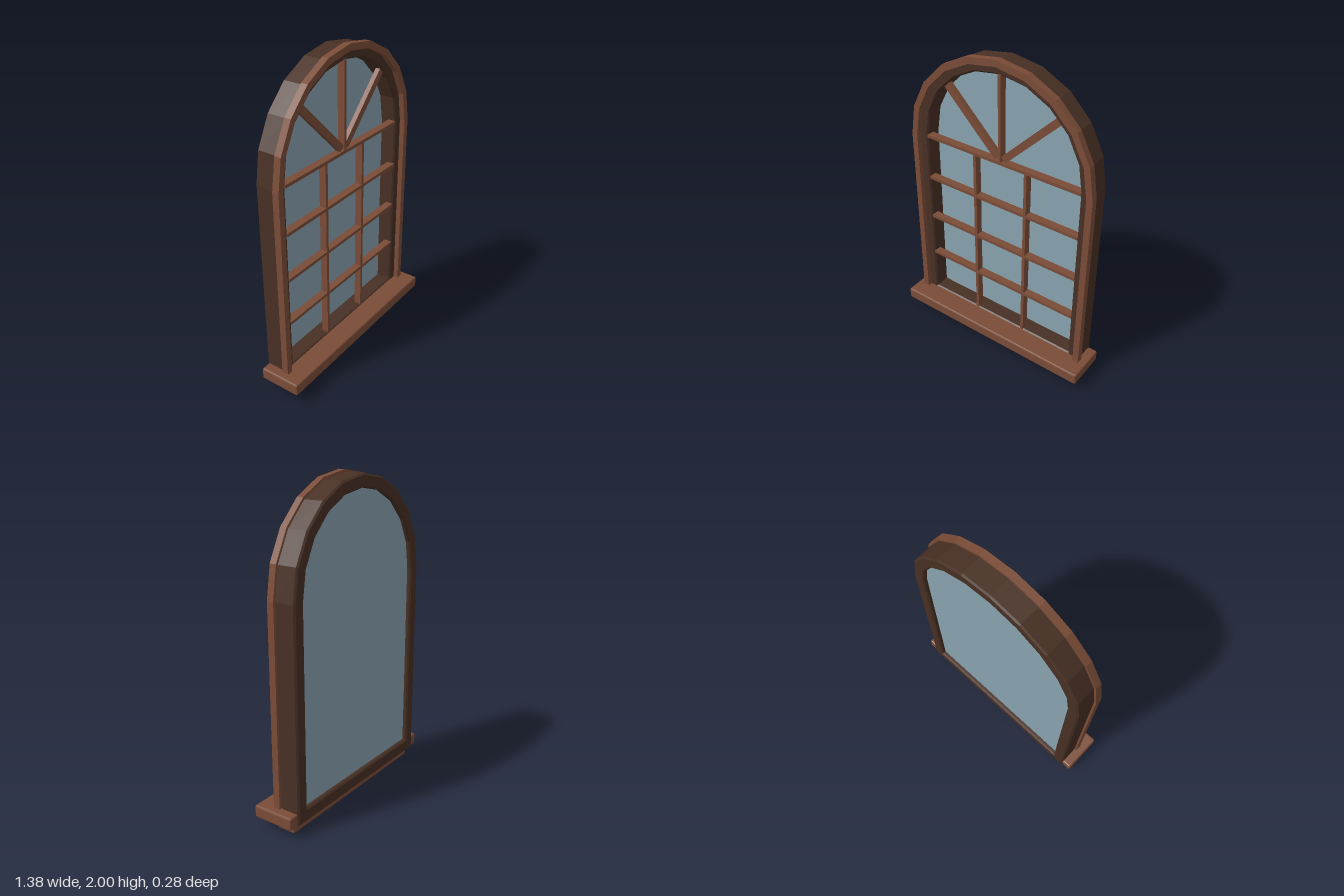
import * as THREE from 'three';
import { RoundedBoxGeometry } from 'three/addons/geometries/RoundedBoxGeometry.js';

const SPRING = 1.36; // height where the arch begins

// Points of an arched outline with ten straight facets over the top
function archPoints(radius, bottom) {
  const pts = [new THREE.Vector2(-radius, bottom), new THREE.Vector2(radius, bottom)];
  for (let i = 0; i <= 10; i++) {
    const a = (i / 10) * Math.PI;
    pts.push(new THREE.Vector2(radius * Math.cos(a), SPRING + radius * Math.sin(a)));
  }
  return pts;
}

// Arched ring from zBack to zFront, with an optional chamfer inside those limits
function archRing(outer, outerBottom, inner, innerBottom, zBack, zFront, bevel = 0) {
  const shape = new THREE.Shape(archPoints(outer - bevel, outerBottom + bevel));
  shape.holes.push(new THREE.Path(archPoints(inner + bevel, innerBottom - bevel)));
  const geo = new THREE.ExtrudeGeometry(shape, {
    depth: zFront - zBack - 2 * bevel,
    bevelEnabled: bevel > 0,
    bevelSize: bevel,
    bevelThickness: bevel,
    bevelSegments: 1,
  });
  return geo.translate(0, 0, zBack + bevel);
}

// Box with chamfered edges given by its limits
function chamferBox(w, y0, y1, z0, z1, chamfer) {
  const geo = new RoundedBoxGeometry(w, y1 - y0, z1 - z0, 1, chamfer);
  geo.computeVertexNormals();
  return geo.translate(0, (y0 + y1) / 2, (z0 + z1) / 2);
}

export function createModel() {
  const wood = new THREE.MeshStandardMaterial({ color: 0x7a4c37 });
  wood.name = 'wood';
  const darkWood = new THREE.MeshStandardMaterial({ color: 0x483024 });
  darkWood.name = 'darkWood';
  const glass = new THREE.MeshStandardMaterial({ color: 0x89a3b0 });
  glass.name = 'glass';

  const model = new THREE.Group();
  model.name = 'archedWindow';
  const add = (name, geo, mat, parent = model) => {
    const mesh = new THREE.Mesh(geo, mat);
    mesh.name = name;
    parent.add(mesh);
    return mesh;
  };

  // Deep frame and the casing around its front
  add('frame', archRing(0.625, 0.065, 0.545, 0.15, -0.14, 0, 0.01), darkWood);
  add('casing', archRing(0.64, 0.055, 0.6, 0.1, -0.01, 0.033), wood);

  // Glass pane
  const pane = new THREE.ExtrudeGeometry(new THREE.Shape(archPoints(0.56, 0.14)), {
    depth: 0.01,
    bevelEnabled: false,
  });
  add('glassPane', pane.translate(0, 0, -0.112), glass);

  // Sill and apron
  add('sill', chamferBox(1.376, 0.065, 0.142, -0.13, 0.138, 0.01), wood);
  add('apron', chamferBox(1.236, 0, 0.07, -0.095, 0.025, 0.008), wood);

  // Glazing bars
  const bars = new THREE.Group();
  bars.name = 'glazingBars';
  model.add(bars);
  const bar = (name, w, h, d, x, y, angle = 0) => {
    const mesh = add(name, new THREE.BoxGeometry(w, h, d), wood, bars);
    mesh.position.set(x, y, -0.025);
    mesh.rotation.z = angle;
  };
  for (const y of [0.455, 0.757, 1.058, 1.357]) bar('horizontalBar', 1.094, 0.02, 0.05, 0, y);
  for (const s of [-1, 1]) {
    bar('verticalBar', 0.02, 1.21, 0.046, s * 0.183, 0.75);
    // Diagonal bars of the fan
    const mid = 0.29 * Math.SQRT1_2;
    bar('fanDiagonalBar', 0.52, 0.045, 0.03, s * mid, SPRING + mid, (s * Math.PI) / 4);
  }
  bar('fanCentreBar', 0.02, 0.55, 0.046, 0, 1.632);

  return model;
}
